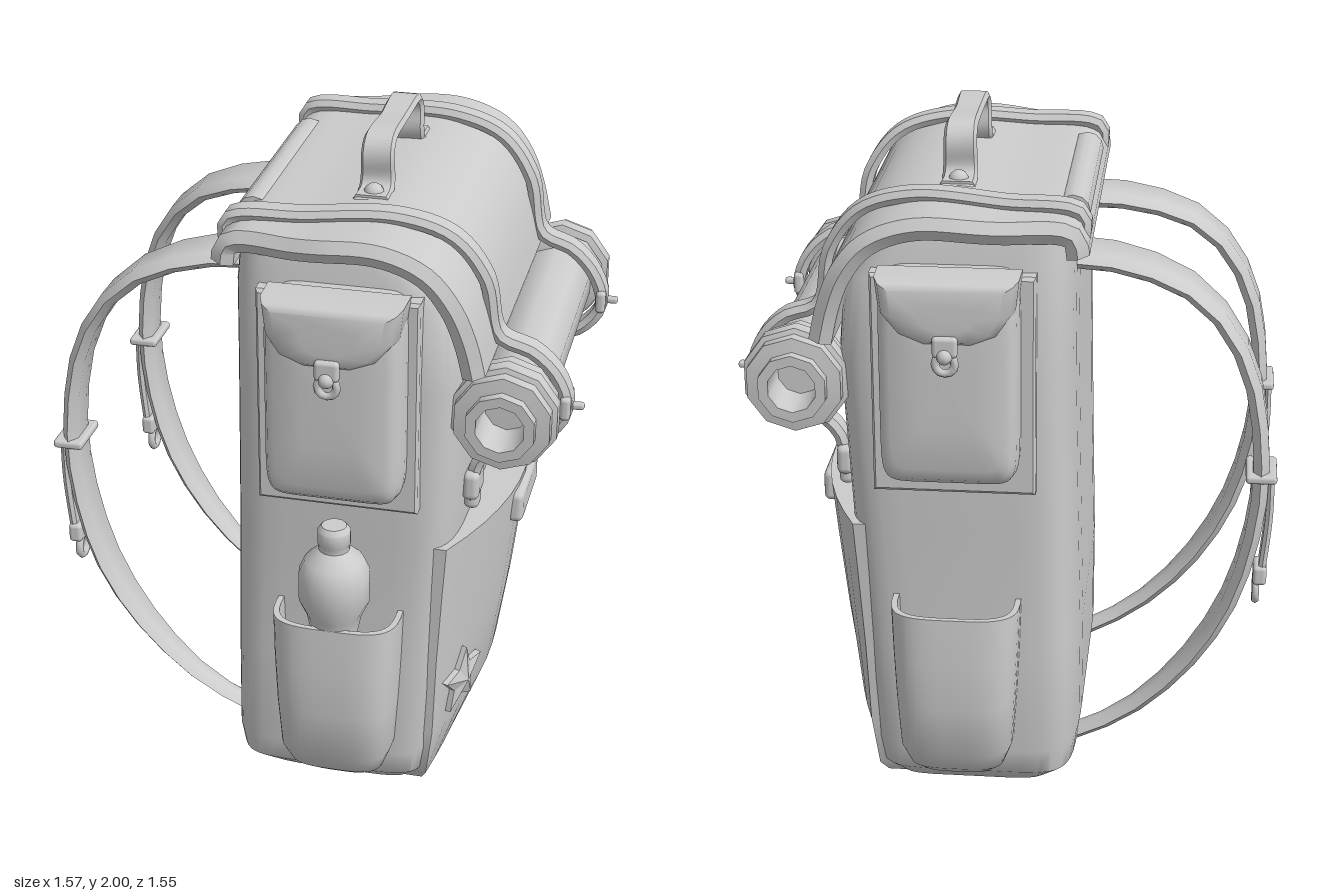
import * as THREE from 'three';
import { toCreasedNormals } from 'three/addons/utils/BufferGeometryUtils.js';
import { RoundedBoxGeometry } from 'three/addons/geometries/RoundedBoxGeometry.js';

const V = (x, y, z) => new THREE.Vector3(x, y, z);
const material = new THREE.MeshStandardMaterial({ color: 0xcccccc });

// Skin a list of closed rings, cap both ends, and turn the faces outward.
function loft(rings, crease = 0.7) {
  const n = rings[0].length, pos = [], idx = [];
  rings.forEach(r => r.forEach(p => pos.push(p.x, p.y, p.z)));
  for (let i = 0; i < rings.length - 1; i++)
    for (let j = 0; j < n; j++) {
      const a = i * n + j, b = i * n + (j + 1) % n;
      idx.push(a, b, a + n, b, b + n, a + n);
    }
  [0, rings.length - 1].forEach((k, end) => {
    const c = rings[k].reduce((s, p) => s.add(p), V(0, 0, 0)).divideScalar(n);
    const m = pos.length / 3;
    pos.push(c.x, c.y, c.z);
    for (let j = 0; j < n; j++) {
      const a = k * n + j, b = k * n + (j + 1) % n;
      if (end) idx.push(a, b, m); else idx.push(b, a, m);
    }
  });
  let volume = 0;
  const at = i => V(pos[3 * i], pos[3 * i + 1], pos[3 * i + 2]);
  for (let i = 0; i < idx.length; i += 3) volume += at(idx[i]).dot(at(idx[i + 1]).cross(at(idx[i + 2])));
  if (volume < 0) idx.reverse();
  const g = new THREE.BufferGeometry();
  g.setAttribute('position', new THREE.Float32BufferAttribute(pos, 3));
  g.setIndex(idx);
  return toCreasedNormals(g, crease);
}

// Rounded-rectangle outline (superellipse) as [u, v] pairs.
function outline(u0, u1, v0, v1, power, n = 40) {
  const f = t => Math.sign(t) * Math.abs(t) ** (2 / power);
  return Array.from({ length: n }, (_, i) => {
    const a = (i + 0.5) / n * Math.PI * 2;
    return [(u0 + u1) / 2 + (u1 - u0) / 2 * f(Math.cos(a)), (v0 + v1) / 2 + (v1 - v0) / 2 * f(Math.sin(a))];
  });
}

// Stack of horizontal outlines: rows of [y, x0, x1, z0, z1].
const stack = (rows, power) => loft(rows.map(([y, x0, x1, z0, z1]) =>
  outline(x0, x1, z0, z1, power).map(([x, z]) => V(x, y, z))));

// Outline in xy raised along z: levels of [z, scale].
function puff(pts, levels, crease) {
  const c = pts.reduce((s, p) => [s[0] + p[0] / pts.length, s[1] + p[1] / pts.length], [0, 0]);
  return loft(levels.map(([z, k]) => pts.map(([x, y]) => V(c[0] + (x - c[0]) * k, c[1] + (y - c[1]) * k, z))), crease);
}

// Padded strap along a path; width runs along z, bevel narrows its two faces.
function ribbon(points, width, thick, n = 40, bevel = thick * 0.3) {
  const curve = new THREE.CatmullRomCurve3(points.map(p => V(...p)), false, 'centripetal');
  return loft(Array.from({ length: n + 1 }, (_, i) => {
    const p = curve.getPointAt(i / n), T = curve.getTangentAt(i / n);
    const N = V(-T.y, T.x, 0).normalize();
    const w = (typeof width === 'function' ? width(i / n) : width) / 2, f = w - bevel;
    return [[w, 0], [f, 1], [-f, 1], [-w, 0], [-f, -1], [f, -1]]
      .map(([a, b]) => p.clone().addScaledVector(N, b * thick / 2).add(V(0, 0, a)));
  }), 0.9);
}

const lathe = (pts, seg) => toCreasedNormals(new THREE.LatheGeometry(pts.map(p => new THREE.Vector2(...p)), seg), 0.75);
const box = (w, h, d, r = 0.015) => new RoundedBoxGeometry(w, h, d, 2, r);
const ease = THREE.MathUtils.smoothstep;

export function createModel() {
  const model = new THREE.Group();
  const add = (name, geometry, x = 0, y = 0, z = 0) => {
    const m = new THREE.Mesh(geometry, material);
    m.name = name;
    m.position.set(x, y, z);
    model.add(m);
    return m;
  };

  // Main bag
  const bag = [[0.01, -0.08, 0.26, 0.4], [0.03, -0.15, 0.35, 0.48], [0.1, -0.21, 0.39, 0.56], [0.18, -0.22, 0.4, 0.575],
    [0.5, -0.22, 0.43, 0.565], [0.9, -0.21, 0.455, 0.57], [1.4, -0.2, 0.48, 0.585], [1.66, -0.2, 0.46, 0.575], [1.78, -0.19, 0.34, 0.55]];
  add('bag', stack(bag.map(([y, a, b, h]) => [y, a, b, -h, h]), 7));

  // Curved lid, narrower toward the back
  add('lid', ribbon([[-0.21, 1.73, 0], [-0.195, 1.785, 0], [0, 1.805, 0], [0.24, 1.815, 0], [0.37, 1.765, 0], [0.44, 1.68, 0],
    [0.48, 1.58, 0], [0.505, 1.475, 0]], t => 1.13 + 0.11 * ease(t, 0.05, 0.4) - 0.04 * ease(t, 0.7, 1), 0.065, 32));
  const pad = add('backPad', new THREE.CylinderGeometry(0.05, 0.05, 0.65, 12), -0.18, 1.79, 0);
  pad.rotation.x = Math.PI / 2;

  // Carry handle
  const grip = ribbon([[-0.29, 1.845, 0], [-0.22, 1.85, 0], [-0.2, 1.88, 0], [-0.205, 1.95, 0], [-0.18, 1.983, 0], [0, 1.985, 0],
    [0.18, 1.983, 0], [0.205, 1.95, 0], [0.2, 1.88, 0], [0.22, 1.85, 0], [0.29, 1.845, 0]], t => 0.085 + 0.02 * Math.abs(2 * t - 1), 0.03, 40);
  add('carryHandle', grip.rotateY(Math.PI / 2), 0.15);

  // Front pocket: bulges forward in the middle; rows of [y, front x, half width, bulge]
  const pocket = [[0.03, 0.38, 0.46, 0.02], [0.08, 0.42, 0.505, 0.04], [0.24, 0.49, 0.52, 0.09], [0.5, 0.53, 0.53, 0.12],
    [0.75, 0.56, 0.54, 0.135], [0.9, 0.575, 0.545, 0.14]];
  add('frontPocket', loft(pocket.map(([y, x, h, bulge]) => [V(0.2, y, h), V(0.2, y, -h),
    ...Array.from({ length: 13 }, (_, i) => i / 6 - 1).map(u => V(x - bulge * u * u, y, u * h))])));
  add('pullTab', box(0.05, 0.1, 0.29, 0.02), 0.566, 0.83, 0);
  const star = Array.from({ length: 10 }, (_, i) => {
    const a = Math.PI / 2 + i * Math.PI / 5, r = i % 2 ? 0.056 : 0.112;
    return [r * Math.cos(a), r * Math.sin(a)];
  });
  add('starPatch', puff(star, [[-0.02, 1], [0.012, 1], [0.03, 0.02]], 0.2), 0.457, 0.37, 0.39)
    .rotation.set(0.08, Math.PI / 2 - 0.3, 0, 'YXZ');

  // Bed roll with stepped coiled ends
  const half = [[0.11, 0], [0.11, 0.42], [0.14, 0.43], [0.14, 0.47], [0.125, 0.48], [0.155, 0.49], [0.155, 0.535], [0.14, 0.54],
    [0.14, 0.575], [0.1, 0.58], [0.1, 0.61], [0.07, 0.61], [0.065, 0.48], [0, 0.48]];
  const roll = [...half.slice(1).reverse().map(([r, z]) => [r, -z]), ...half];
  add('bedRoll', lathe(roll, 10).rotateX(Math.PI / 2), 0.585, 1.34, 0);

  for (const s of [1, -1]) {
    // Lid strap passing over the roll and down to the bag
    add('lidStrap', ribbon([[-0.22, 1.75, 0.45 * s], [-0.215, 1.83, 0.45 * s], [0, 1.85, 0.44 * s], [0.26, 1.86, 0.415 * s],
      [0.41, 1.81, 0.4 * s], [0.5, 1.69, 0.385 * s], [0.54, 1.52, 0.375 * s], [0.64, 1.475, 0.37 * s], [0.71, 1.4, 0.365 * s],
      [0.735, 1.3, 0.365 * s], [0.67, 1.215, 0.365 * s], [0.56, 1.18, 0.365 * s], [0.49, 1.11, 0.365 * s], [0.475, 0.99, 0.365 * s]],
    0.075, 0.037, 60));
    add('rollBuckle', box(0.03, 0.07, 0.1, 0.012), 0.735, 1.32, 0.365 * s);
    add('rollBucklePin', box(0.06, 0.02, 0.025, 0.008), 0.755, 1.315, 0.365 * s);
    add('strapAnchor', box(0.05, 0.09, 0.11, 0.02), 0.475, 1.04, 0.365 * s);
    add('strapAnchorTip', box(0.045, 0.06, 0.065, 0.02), 0.475, 0.985, 0.365 * s);

    // Handle rivet
    add('handleRivet', new THREE.SphereGeometry(0.03, 10, 8), 0.15, 1.852, 0.25 * s);
    add('handleBase', box(0.1, 0.025, 0.1, 0.01), 0.15, 1.84, 0.25 * s);

    // Upper side pocket: backing, pouch, flap, clasp
    const panel = [[-0.1, 1.04], [0.36, 1.04], [0.36, 1.69], [-0.1, 1.69]];
    add('sidePanel', puff(panel, [[0.54 * s, 1], [0.6 * s, 1], [0.61 * s, 0.97]]));
    add('sidePouch', puff(outline(-0.06, 0.33, 1.1, 1.71, 9),
      [[0.56 * s, 0.99], [0.64 * s, 1], [0.69 * s, 0.97], [0.713 * s, 0.91], [0.725 * s, 0.8], [0.73 * s, 0.4]], 1));
    const flap = [[-0.06, 1.71], [-0.05, 1.62], [-0.01, 1.56], [0.06, 1.53], [0.2, 1.53], [0.27, 1.56], [0.32, 1.62], [0.33, 1.71]];
    add('sideFlap', puff(flap, [[0.6 * s, 1.02], [0.69 * s, 1.01], [0.727 * s, 0.94], [0.742 * s, 0.8], [0.745 * s, 0.4]], 0.9));
    add('claspPlate', box(0.07, 0.06, 0.03, 0.012), 0.135, 1.535, 0.745 * s);
    add('claspRing', new THREE.TorusGeometry(0.027, 0.012, 6, 12), 0.135, 1.485, 0.745 * s);
    add('claspKnob', new THREE.SphereGeometry(0.022, 10, 8), 0.135, 1.51, 0.756 * s);

    // Lower side pocket, an open cup
    const cup = [[0.13, 0.1, 0.05], [0.17, 0.14, 0.1], [0.24, 0.165, 0.145], [0.4, 0.175, 0.163], [0.55, 0.182, 0.162],
      [0.69, 0.187, 0.15], [0.69, 0.17, 0.134], [0.5, 0.165, 0.14], [0.25, 0.14, 0.12]];
    add('bottlePocket', stack(cup.map(([y, a, b]) => [y, 0.13 - a, 0.13 + a, 0.57 * s - b, 0.57 * s + b]), 3.6));

    // Shoulder strap with slider and hanging tail
    add('shoulderStrap', ribbon([[-0.18, 1.66, 0.285 * s], [-0.35, 1.645, 0.3 * s], [-0.55, 1.56, 0.33 * s], [-0.68, 1.38, 0.35 * s],
      [-0.735, 1.1, 0.36 * s], [-0.72, 0.85, 0.36 * s], [-0.65, 0.6, 0.36 * s], [-0.52, 0.38, 0.355 * s], [-0.35, 0.21, 0.35 * s],
      [-0.19, 0.12, 0.34 * s]], t => 0.21 - 0.06 * ease(t, 0, 0.35) - 0.07 * ease(t, 0.6, 1), 0.046, 18, 0.03));
    add('strapSlider', box(0.09, 0.025, 0.16, 0.01), -0.737, 1.035, 0.36 * s);
    add('strapTail', ribbon([[-0.765, 1.04, 0.36 * s], [-0.765, 0.9, 0.36 * s], [-0.75, 0.72, 0.36 * s]], 0.075, 0.022, 8));
    add('tailClip', box(0.04, 0.06, 0.09, 0.012), -0.745, 0.71, 0.36 * s);
    const loop = add('tailLoop', new THREE.TorusGeometry(0.036, 0.012, 6, 12), -0.735, 0.655, 0.36 * s);
    loop.rotation.y = Math.PI / 2;
  }

  // Water bottle
  add('bottle', lathe([[0, 0.3], [0.06, 0.31], [0.07, 0.66], [0.08, 0.71], [0.103, 0.76], [0.103, 0.85], [0.085, 0.89],
    [0.045, 0.925], [0.045, 0.94], [0.048, 0.945], [0.048, 0.985], [0.036, 1.0], [0, 1.0]], 16), 0.13, 0, 0.645);
  return model;
}
